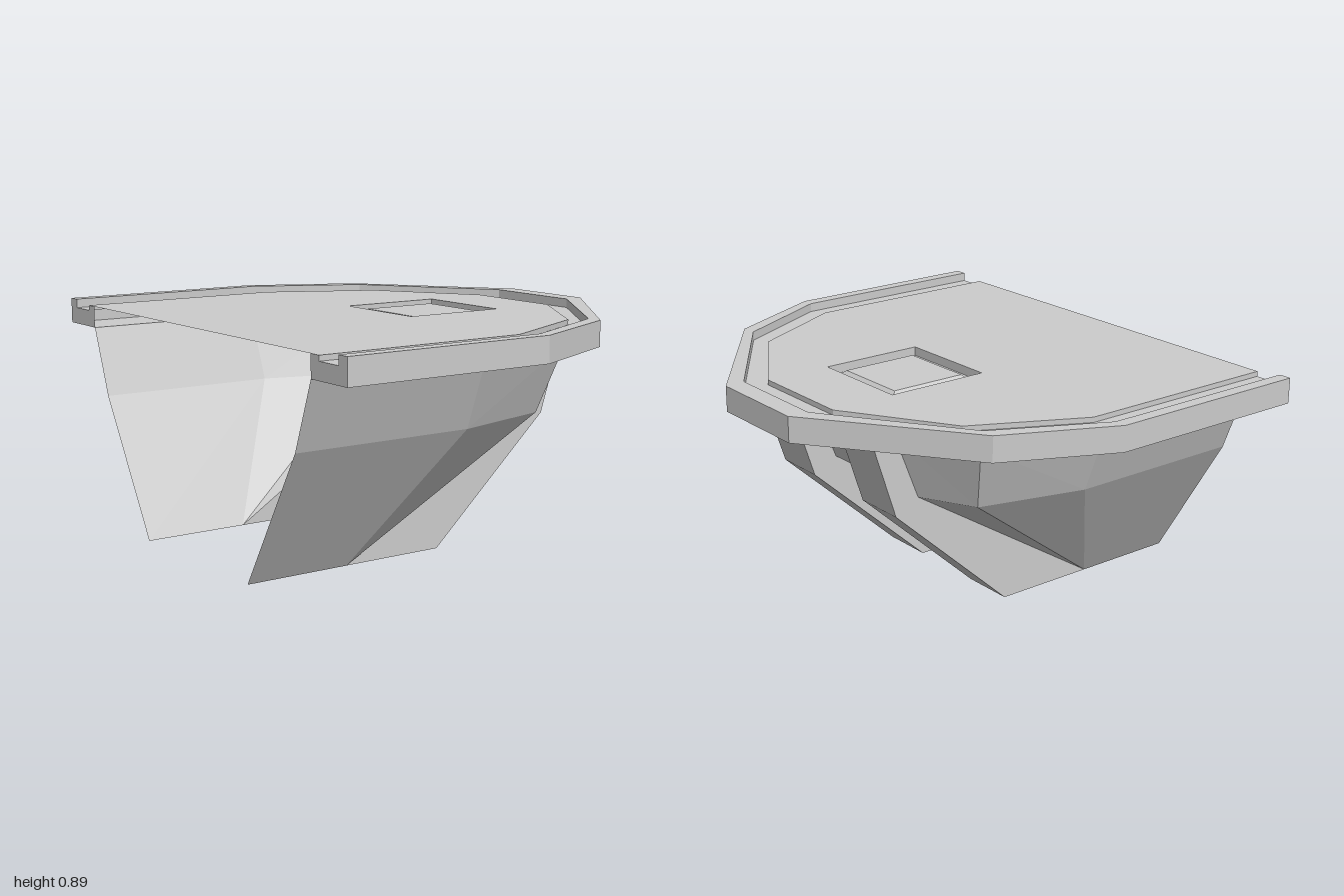
import * as THREE from 'three';

const BACK = -0.855;
const material = new THREE.MeshStandardMaterial({
  color: 0xcccccc, flatShading: true, side: THREE.DoubleSide,
});

function part(name, geometry) {
  const mesh = new THREE.Mesh(geometry, material);
  mesh.name = name;
  return mesh;
}

// Skin a list of rings, each a list of [x, y, z]; zero-area triangles are dropped
function loft(rings, closed = false) {
  const pos = [];
  const tri = (a, b, c) => {
    const same = (p, q) => p.every((v, i) => v === q[i]);
    if (!same(a, b) && !same(b, c) && !same(c, a)) pos.push(...a, ...b, ...c);
  };
  for (let r = 0; r < rings.length - 1; r++) {
    const lo = rings[r], hi = rings[r + 1];
    const count = closed ? lo.length : lo.length - 1;
    for (let i = 0; i < count; i++) {
      const j = (i + 1) % lo.length;
      tri(lo[i], lo[j], hi[j]);
      tri(lo[i], hi[j], hi[i]);
    }
  }
  const g = new THREE.BufferGeometry();
  g.setAttribute('position', new THREE.Float32BufferAttribute(pos, 3));
  g.computeVertexNormals();
  return g;
}

// Half outline [x, z] on the +z side, completed by its mirror image
const mirrored = (half) => [...half, ...half.map(([x, z]) => [x, -z]).reverse()];
const at = (outline, y) => outline.map(([x, z]) => [x, y, z]);
const toShape = (pts) => new THREE.Shape(pts.map(([a, b]) => new THREE.Vector2(a, b)));

// Rectangle outline running the same way round as the other outlines
const rect = (x0, x1, z) => [[x0, z], [x1, z], [x1, -z], [x0, -z]];

export function createModel() {
  const group = new THREE.Group();

  const outer = mirrored([[BACK, 1], [-0.01, 1], [0.415, 0.8], [0.855, 0.21]]);
  const rimInner = mirrored([[BACK, 0.95], [-0.01, 0.95], [0.41, 0.74], [0.775, 0.215]]);
  const deck = mirrored([[BACK, 0.84], [-0.01, 0.84], [0.41, 0.63], [0.67, 0.215]]);
  const shellTop = [[BACK, 0.79], [-0.12, 0.79], [0.36, 0.67], [0.515, 0.37]];
  const shellMid = [[BACK, 0.69], [-0.12, 0.69], [0.3, 0.58], [0.41, 0.37]];
  const shellLow = [[BACK, 0.37], [-0.43, 0.37], [-0.43, 0.37], [-0.43, 0.37]];

  // Raised rim with a shallow channel inside it
  group.add(part('rim', loft([
    at(outer, 0.795), at(outer, 0.895), at(rimInner, 0.895),
    at(rimInner, 0.86), at(deck, 0.86), at(deck, 0.88),
  ])));

  // Underside of the rim, around the hollow shell
  const underside = new THREE.ShapeGeometry(toShape([...outer, ...mirrored(shellTop).reverse()]));
  underside.rotateX(Math.PI / 2).translate(0, 0.795, 0);
  group.add(part('rimUnderside', underside));

  // End faces of the rim at the open back
  const profile = toShape([[0.79, 0.795], [1, 0.795], [1, 0.895], [0.95, 0.895],
    [0.95, 0.86], [0.84, 0.86], [0.84, 0.88], [0.79, 0.88]]);
  for (const side of [1, -1]) {
    const cap = new THREE.ShapeGeometry(profile).rotateY(-Math.PI / 2);
    cap.translate(BACK, 0, 0);
    const mesh = part('rimEnd', cap);
    mesh.scale.z = side;
    group.add(mesh);
  }

  // Deck with a square opening for the hatch
  const hatchEdge = rect(-0.015, 0.405, 0.21);
  const deckShape = toShape(deck.map(([x, z]) => [x, -z]));
  deckShape.holes.push(new THREE.Path(hatchEdge.map(([x, z]) => new THREE.Vector2(x, -z))));
  const deckGeometry = new THREE.ShapeGeometry(deckShape);
  deckGeometry.rotateX(-Math.PI / 2).translate(0, 0.88, 0);
  group.add(part('deck', deckGeometry));

  // Sunken hatch with a bevelled panel
  const panelBase = rect(0.015, 0.38, 0.185);
  const panelTop = rect(0.04, 0.355, 0.155);
  const centre = panelTop.map(() => [0.195, 0]);
  group.add(part('hatch', loft([
    at(hatchEdge, 0.88), at(hatchEdge, 0.845), at(panelBase, 0.845),
    at(panelTop, 0.87), at(centre, 0.87),
  ], true)));

  // Faceted shell sides
  const sideGeometry = loft([at(shellLow, 0), at(shellMid, 0.53), at(shellTop, 0.795)]);
  for (const side of [1, -1]) {
    const mesh = part('shellSide', sideGeometry);
    mesh.scale.z = side;
    group.add(mesh);
  }

  // Front panel between the ribs
  const across = (x, y, z0, z1) => [[x, y, z0], [x, y, z1]];
  group.add(part('frontPanel', loft([
    across(-0.43, 0, 0.16, -0.16), across(0.41, 0.53, 0.16, -0.16), across(0.515, 0.795, 0.16, -0.16),
  ])));

  // Two hollow ribs, open at the bottom
  const ribSide = toShape([[-0.43, 0], [-0.01, 0], [0.51, 0.475], [0.615, 0.795], [0.515, 0.795], [0.41, 0.53]]);
  for (const side of [1, -1]) {
    const rib = new THREE.Group();
    rib.name = 'rib';
    rib.add(part('ribFront', loft([
      across(-0.01, 0, 0.37, 0.16), across(0.51, 0.475, 0.37, 0.16), across(0.615, 0.795, 0.37, 0.16),
    ])));
    for (const z of [0.16, 0.37]) {
      rib.add(part('ribSide', new THREE.ShapeGeometry(ribSide).translate(0, 0, z)));
    }
    rib.scale.z = side;
    group.add(rib);
  }

  return group;
}
